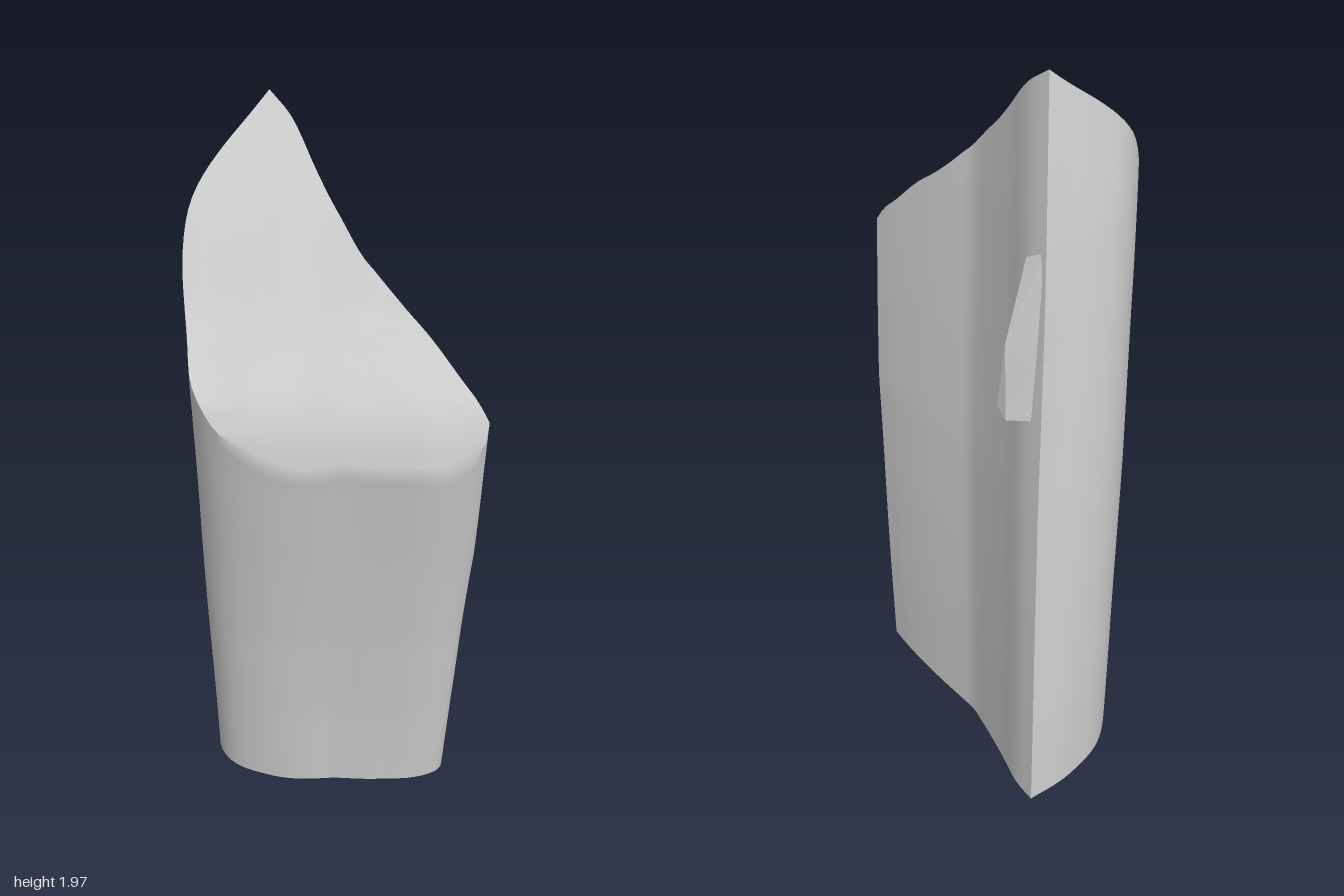
import * as THREE from 'three';
import { toCreasedNormals } from 'three/addons/utils/BufferGeometryUtils.js';
import { ConvexGeometry } from 'three/addons/geometries/ConvexGeometry.js';

// Piecewise linear lookup through [input, output] pairs
function lerpTable(table, v) {
  if (v <= table[0][0]) return table[0][1];
  for (let i = 1; i < table.length; i++) {
    const [a, fa] = table[i - 1], [b, fb] = table[i];
    if (v <= b) return fa + (fb - fa) * (v - a) / (b - a);
  }
  return table[table.length - 1][1];
}

// Forward lean, sideways sway and widening of the billet at each height
const LEAN = [[0, 0], [0.3, 0.025], [0.6, 0.06], [0.9, 0.105], [1.2, 0.155], [1.4, 0.195], [1.6, 0.24], [1.8, 0.3], [2, 0.36]];
const SWAY = [[0, 0], [0.9, -0.006], [1.4, -0.02], [2, -0.03]];
const WIDTH = [[0, 0.94], [0.5, 0.98], [0.9, 1.01], [2, 1]];
// Height of the slanted cut, by depth
const CUT = [[-0.05, 2], [0.14, 1.75], [0.25, 1.57], [0.33, 1.47], [0.39, 1.4], [0.42, 1.33], [0.44, 1.23], [0.47, 1.18]];

// Point of the leaning body at height y for a section point (x, z)
function place(x, z, y) {
  const bump = 1 + 0.005 * Math.sin(5 * y + 11 * x) * Math.sin(9 * z + 3 * y + 1) + 0.004 * Math.sin(2 * y + 31 * x);
  return [x * lerpTable(WIDTH, y) * bump + lerpTable(SWAY, y), y, z * bump + lerpTable(LEAN, y)];
}

// Height at which a section point meets the slanted cut
function cutHeight(x, z) {
  let lo = 0.5, hi = 2;
  for (let k = 0; k < 30; k++) {
    const y = (lo + hi) / 2;
    const p = place(x, z, y);
    const depth = p[2] + 0.08 * Math.max(0, (0.15 - p[0]) / 0.45);
    if (y < lerpTable(CUT, depth)) lo = y; else hi = y;
  }
  return lo + 0.004 * Math.sin(31 * x + 11 * z);
}

// Wedge section: rounded bark from the ridge to the right corner, then the split face
function sectionPoints() {
  const run = (pts, n) => new THREE.CatmullRomCurve3(pts.map(([x, z]) => new THREE.Vector3(x, 0, z)), false, 'centripetal')
    .getSpacedPoints(n).slice(0, -1);
  const bark = [[-0.08, -0.435], [-0.2, -0.345], [-0.28, -0.255], [-0.312, -0.165], [-0.323, -0.03], [-0.327, 0.07],
    [-0.29, 0.14], [-0.19, 0.2], [-0.09, 0.23], [0, 0.24], [0.12, 0.265], [0.23, 0.275], [0.315, 0.255], [0.332, 0.225]];
  const split = [[0.332, 0.225], [0.295, 0.17], [0.21, 0.06], [0.11, -0.06], [0.085, -0.09],
    [0.05, -0.16], [0, -0.275], [-0.04, -0.375], [-0.08, -0.435]];
  return [...run(bark, 56), ...run(split, 32)];
}

function billetGeometry() {
  const section = sectionPoints();
  const n = section.length, cx = -0.04, cz = 0.03, base = 0.008;
  const positions = [], index = [];
  let rows = 0;
  const addRow = (fn) => { section.forEach((p) => positions.push(...fn(p))); rows++; };
  const shrink = (p, s) => [cx + (p.x - cx) * s, cz + (p.z - cz) * s];

  // Underside, slightly hollowed towards the front
  for (const s of [0.001, 0.5, 0.94]) {
    addRow((p) => {
      const [x, z] = shrink(p, s);
      return place(x, z, base + 0.12 * Math.max(0, z + 0.05));
    });
  }
  // Sides, stretched up to the cut
  const levels = 34;
  for (let j = 0; j <= levels; j++) {
    addRow((p) => {
      const foot = base + 0.05 * Math.max(0, p.z);
      return place(p.x, p.z, foot + (cutHeight(p.x, p.z) - foot) * j / levels);
    });
  }
  // Slanted cut
  for (const s of [0.97, 0.92, 0.85, 0.7, 0.5, 0.25, 0.001]) {
    addRow((p) => {
      const [x, z] = shrink(p, s);
      return place(x, z, cutHeight(x, z));
    });
  }
  for (let j = 0; j < rows - 1; j++) {
    for (let i = 0; i < n; i++) {
      const a = j * n + i, b = j * n + (i + 1) % n;
      index.push(a, b, b + n, a, b + n, a + n);
    }
  }
  const geometry = new THREE.BufferGeometry();
  geometry.setAttribute('position', new THREE.Float32BufferAttribute(positions, 3));
  geometry.setIndex(index);
  return toCreasedNormals(geometry, 0.6);
}

export function createModel() {
  const group = new THREE.Group();
  group.name = 'splitLog';
  const material = new THREE.MeshStandardMaterial({ color: 0xcccccc });
  const add = (name, geometry) => {
    const mesh = new THREE.Mesh(geometry, material);
    mesh.name = name;
    group.add(mesh);
  };
  add('billet', billetGeometry());

  // Loose splinter peeling off beside the back ridge
  const splinter = [[-0.1, 1.58, -0.19], [-0.06, 1.56, -0.17], [-0.08, 1.3, -0.255], [-0.01, 1.35, -0.21],
    [-0.07, 1.17, -0.275], [-0.01, 1.16, -0.255], [0.01, 1.18, -0.22], [-0.04, 1.2, -0.205]];
  add('splinter', new ConvexGeometry(splinter.map((p) => new THREE.Vector3(...p))));
  return group;
}
